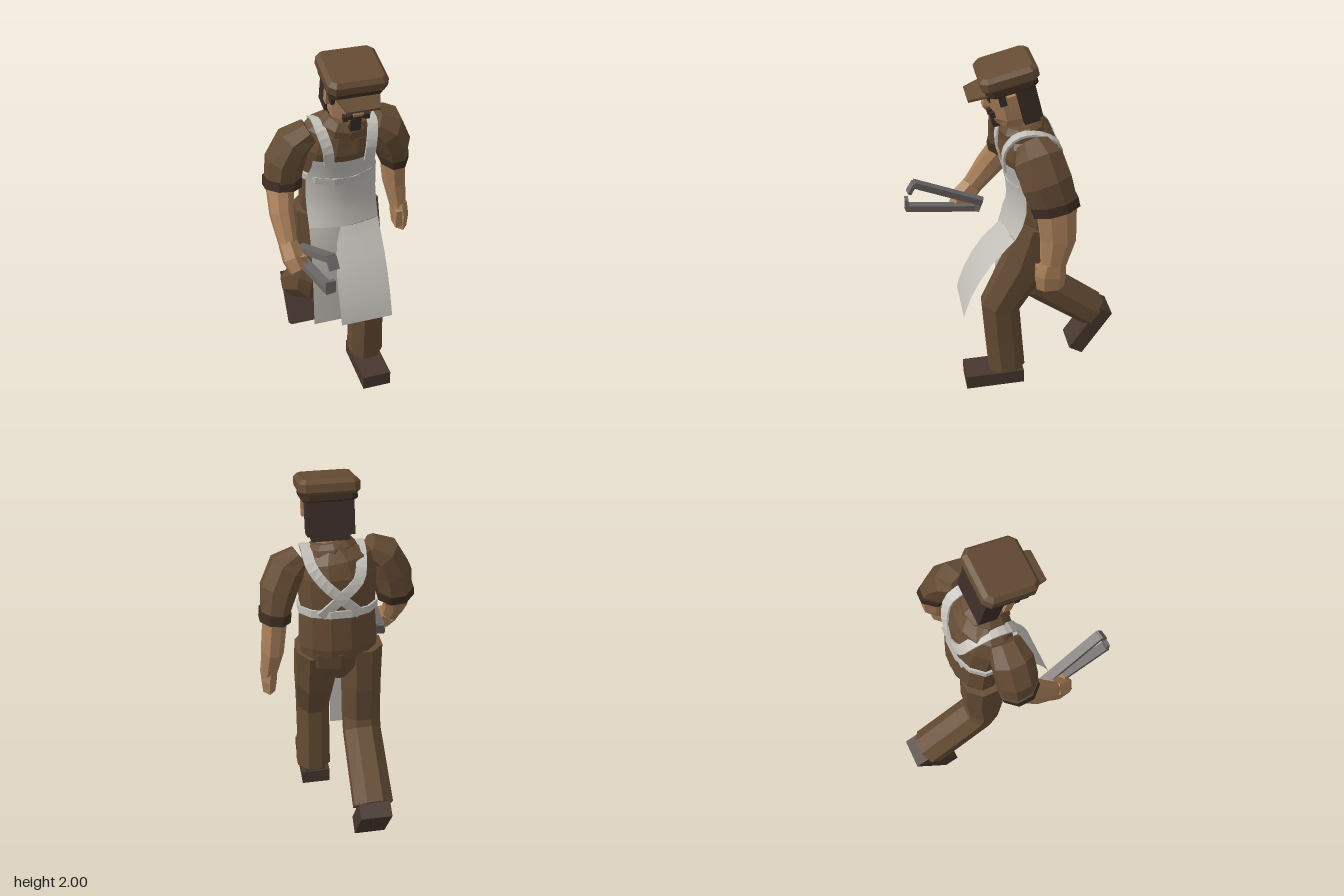
import * as THREE from 'three';

const mat = (name, color, extra = {}) => {
  const m = new THREE.MeshStandardMaterial({ color, ...extra });
  m.name = name;
  return m;
};

// Faceted tube through rings [x, y, z, half width, half depth], capped at both ends
function loft(rings, sides = 8) {
  const pts = rings.map(r => new THREE.Vector3(r[0], r[1], r[2]));
  const pos = [], idx = [], n = rings.length, grow = 1 / Math.cos(Math.PI / sides);
  rings.forEach((r, i) => {
    const t = pts[Math.min(i + 1, n - 1)].clone().sub(pts[Math.max(i - 1, 0)]).normalize();
    const u = new THREE.Vector3(1, 0, 0).addScaledVector(t, -t.x).normalize();
    const v = t.clone().cross(u);
    for (let j = 0; j < sides; j++) {
      const a = (j + 0.5) / sides * Math.PI * 2;
      const p = pts[i].clone().addScaledVector(u, Math.cos(a) * r[3] * grow)
        .addScaledVector(v, Math.sin(a) * r[4] * grow);
      pos.push(p.x, p.y, p.z);
    }
  });
  pos.push(...pts[0].toArray(), ...pts[n - 1].toArray());
  for (let j = 0; j < sides; j++) {
    const k = (j + 1) % sides, top = (n - 1) * sides;
    for (let i = 0; i < n - 1; i++) {
      const a = i * sides + j, b = i * sides + k;
      idx.push(a, b, b + sides, a, b + sides, a + sides);
    }
    idx.push(n * sides, k, j, n * sides + 1, top + j, top + k);
  }
  return finish(pos, idx).toNonIndexed();
}

function finish(pos, idx) {
  const g = new THREE.BufferGeometry();
  g.setAttribute('position', new THREE.Float32BufferAttribute(pos, 3));
  g.setIndex(idx);
  return g;
}

// Cloth sheet from rows [y, x from, x to, z, backward curl]
function cloth(rows, cols = 10) {
  const pos = [], idx = [];
  rows.forEach(([y, x0, x1, z, curl], i) => {
    for (let j = 0; j <= cols; j++) {
      const x = x0 + (x1 - x0) * j / cols;
      pos.push(x, y, z - curl * x * x);
      if (i < rows.length - 1 && j < cols) {
        const a = i * (cols + 1) + j, b = a + cols + 1;
        idx.push(a, b, b + 1, a, b + 1, a + 1);
      }
    }
  });
  const g = finish(pos, idx);
  g.computeVertexNormals();
  return g;
}

// Flat block with clipped corners and bevelled rims, centred, y up
function slab(w, h, d, corner, bevel) {
  const x = w / 2 - bevel, z = d / 2 - bevel, c = corner;
  const s = new THREE.Shape([[x - c, -z], [x, c - z], [x, z - c], [x - c, z],
    [c - x, z], [-x, z - c], [-x, c - z], [c - x, -z]].map(p => new THREE.Vector2(...p)));
  return new THREE.ExtrudeGeometry(s, { depth: h - 2 * bevel, bevelEnabled: true,
    bevelThickness: bevel, bevelSize: bevel, bevelSegments: 1 })
    .translate(0, 0, bevel - h / 2).rotateX(-Math.PI / 2);
}

export function createModel() {
  const brown = mat('brown cloth', 0x654c34);
  const trim = mat('dark trim', 0x3f2e22);
  const skin = mat('skin', 0xa97f59);
  const hair = mat('hair', 0x3b2d27);
  const leather = mat('shoe leather', 0x48372f);
  const linen = mat('apron linen', 0xc3c0b9, { side: THREE.DoubleSide });
  const metal = mat('metal', 0x6c6866);

  const model = new THREE.Group();
  const add = (name, geo, material, parent = model) => {
    if (!geo.attributes.normal) geo.computeVertexNormals();
    const m = new THREE.Mesh(geo, material);
    m.name = name;
    parent.add(m);
    return m;
  };
  const box = (name, w, h, d, x, y, z, material, parent) => {
    const m = add(name, new THREE.BoxGeometry(w, h, d), material, parent);
    m.position.set(x, y, z);
    return m;
  };

  // Shirt and hips
  add('shirt', loft([[0, 1.08, -.1, .195, .125], [0, 1.12, -.1, .2, .13], [0, 1.32, -.08, .19, .13],
    [0, 1.5, -.05, .2, .148], [.01, 1.58, -.04, .185, .125], [.02, 1.63, -.03, .1, .09]], 12), brown);
  add('hips', loft([[0, .92, -.09, .08, .07], [0, 1.01, -.1, .18, .11], [0, 1.1, -.1, .195, .125]], 10), brown);
  add('collar', loft([[.02, 1.59, -.02, .13, .115], [.02, 1.63, -.01, .125, .11],
    [.025, 1.66, -.005, .095, .085]], 10), brown);
  add('neck', loft([[.025, 1.6, -.01, .07, .07], [.03, 1.72, .02, .07, .07]]), skin);

  // Legs, the right one trailing
  add('leftLeg', loft([[.115, 1.09, -.085, .105, .11], [.115, .85, -.02, .105, .122],
    [.11, .58, .12, .09, .105], [.11, .36, .105, .09, .1], [.115, .15, .09, .095, .1]]), brown);
  add('rightLeg', loft([[-.125, 1.09, -.1, .105, .11], [-.125, .85, -.11, .1, .105],
    [-.13, .63, -.1, .1, .1], [-.13, .53, -.14, .1, .1], [-.135, .27, -.47, .105, .095]]), brown);
  box('leftAnkle', .11, .06, .12, .11, .14, .07, leather);
  box('leftShoe', .16, .085, .33, .11, .0925, .165, leather);
  box('rightAnkle', .11, .08, .12, -.135, .24, -.48, leather).rotation.x = 1;
  box('rightShoe', .17, .094, .326, -.135, .162, -.4525, leather).rotation.x = 1.004;

  // Arms
  add('leftSleeve', loft([[.18, 1.59, -.04, .06, .08], [.25, 1.545, -.055, .09, .12],
    [.3, 1.44, -.085, .09, .125], [.325, 1.33, -.125, .07, .11]]), brown);
  add('leftCuff', loft([[.322, 1.345, -.12, .078, .118], [.328, 1.295, -.13, .078, .118]]), trim);
  add('leftForearm', loft([[.325, 1.32, -.13, .058, .1], [.345, 1.13, -.14, .055, .088],
    [.365, .97, -.11, .04, .06]]), skin);
  add('leftHand', loft([[.365, 1.0, -.11, .04, .06], [.37, .93, -.1, .04, .072],
    [.372, .85, -.1, .032, .062]], 6), skin);
  box('leftThumb', .035, .1, .035, .345, .93, -.045, skin);
  add('rightSleeve', loft([[-.17, 1.6, 0, .06, .075], [-.25, 1.555, 0, .085, .1],
    [-.3, 1.45, 0, .095, .1], [-.318, 1.34, .005, .085, .095]]), brown);
  add('rightCuff', loft([[-.315, 1.36, 0, .095, .1], [-.32, 1.31, .01, .095, .1]]), trim);
  add('rightForearm', loft([[-.33, 1.34, .0, .07, .075], [-.35, 1.2, .1, .058, .07],
    [-.345, 1.06, .21, .043, .05]]), skin);
  add('rightHand', loft([[-.345, 1.08, .195, .045, .055], [-.335, 1.02, .25, .05, .06],
    [-.315, .97, .285, .045, .05]], 6), skin);
  box('rightThumb', .05, .045, .07, -.295, 1.03, .26, skin);

  // Tongs held in the right hand
  const tongs = new THREE.Group();
  tongs.name = 'tongs';
  model.add(tongs);
  const bar = (name, a, b, w, h) => {
    const p = new THREE.Vector3(...a), q = new THREE.Vector3(...b);
    const m = add(name, new THREE.BoxGeometry(w, h, p.distanceTo(q)), metal, tongs);
    m.position.copy(p).lerp(q, .5);
    m.lookAt(q);
  };
  bar('upperJaw', [-.275, 1.01, .16], [-.215, 1.2, .53], .05, .035);
  bar('upperTip', [-.215, 1.205, .525], [-.21, 1.15, .56], .05, .02);
  bar('lowerJaw', [-.29, .965, .17], [-.235, 1.045, .58], .05, .035);
  bar('lowerTip', [-.235, 1.035, .572], [-.235, 1.1, .572], .05, .02);
  bar('hinge', [-.285, .955, .185], [-.28, 1.025, .16], .05, .035);

  // Apron: bib, waist band, split skirt, crossed straps
  add('apronBib', cloth([[1.45, -.165, .165, .103, 2], [1.4, -.17, .17, .09, 2], [1.32, -.19, .19, .066, 2],
    [1.2, -.192, .192, .058, 1.8], [1.12, -.192, .192, .066, 1.5], [1.04, -.192, .19, .085, 1]]), linen);
  add('apronLeftFlap', cloth([[1.04, -.03, .19, .087, 1], [.98, -.06, .188, .125, .6], [.9, -.085, .187, .185, .3],
    [.8, -.097, .186, .245, .2], [.7, -.1, .185, .292, .1], [.62, -.1, .185, .32, .1], [.57, -.1, .185, .332, 0]]), linen);
  add('apronRightFlap', cloth([[1.04, -.192, .02, .083, 1], [.9, -.192, .015, .1, .5],
    [.65, -.19, .012, .103, .2], [.41, -.19, .01, .105, 0]]), linen);
  add('waistBand', loft([[0, 1.305, -.078, .203, .142], [0, 1.345, -.074, .203, .145]], 12), linen);
  const strap = (name, points) => {
    const curve = new THREE.CatmullRomCurve3(points.map(p => new THREE.Vector3(...p)));
    add(name, loft(curve.getPoints(18).map(p => [p.x, p.y, p.z, .027, .006]), 4), linen);
  };
  for (const [side, s] of [['left', 1], ['right', -1]]) {
    const cx = s > 0 ? .02 : .01;
    strap(side + 'Strap', [[s * .1 + cx, 1.43, .09], [s * .11 + cx, 1.53, .095], [s * .13 + cx, 1.615, .045],
      [s * .13 + cx, 1.635, -.04], [s * .12 + cx, 1.59, -.15], [s * .09, 1.52, -.197],
      [0, 1.43, -.214], [-s * .1, 1.33, -.205]]);
  }

  // Head, pitched forward
  const head = new THREE.Group();
  head.name = 'head';
  head.position.set(.03, 1.76, .04);
  head.rotation.x = .24;
  model.add(head);
  add('face', loft([[0, -.1, .03, .08, .075], [0, -.05, .01, .105, .1], [0, .13, 0, .11, .105]]), skin, head);
  box('backHair', .236, .2, .1, 0, .03, -.075, hair, head);
  box('napeHair', .19, .04, .08, 0, -.08, -.07, hair, head);
  for (const s of [-1, 1]) {
    box('sideburn', .02, .085, .035, s * .108, .085, .045, hair, head);
    box('ear', .03, .075, .04, s * .115, .05, 0, skin, head);
    box('brow', .07, .014, .014, s * .05, .088, .107, hair, head);
    box('eye', .036, .014, .008, s * .05, .066, .105, hair, head);
    box('moustacheEnd', .025, .03, .025, s * .055, -.012, .108, hair, head);
  }
  add('nose', loft([[0, .08, .1, .012, .012], [0, .025, .118, .026, .026], [0, .012, .112, .022, .02]], 4), skin, head);
  box('moustache', .1, .025, .03, 0, .003, .115, hair, head);
  box('goatee', .055, .075, .035, 0, -.06, .102, hair, head);

  // Flat cap
  add('capBand', slab(.275, .05, .26, .03, .008), trim, head).position.set(0, .125, -.015);
  add('capCrown', slab(.3, .08, .285, .02, .02), brown, head).position.set(0, .17, -.015);
  const peak = new THREE.Shape([[-.11, 0], [.11, 0], [.082, .1], [-.082, .1]].map(p => new THREE.Vector2(...p)));
  const brim = add('capPeak', new THREE.ExtrudeGeometry(peak, { depth: .012, bevelEnabled: false })
    .rotateX(Math.PI / 2), brown, head);
  brim.position.set(0, .118, .105);
  brim.rotation.x = .06;

  return model;
}
